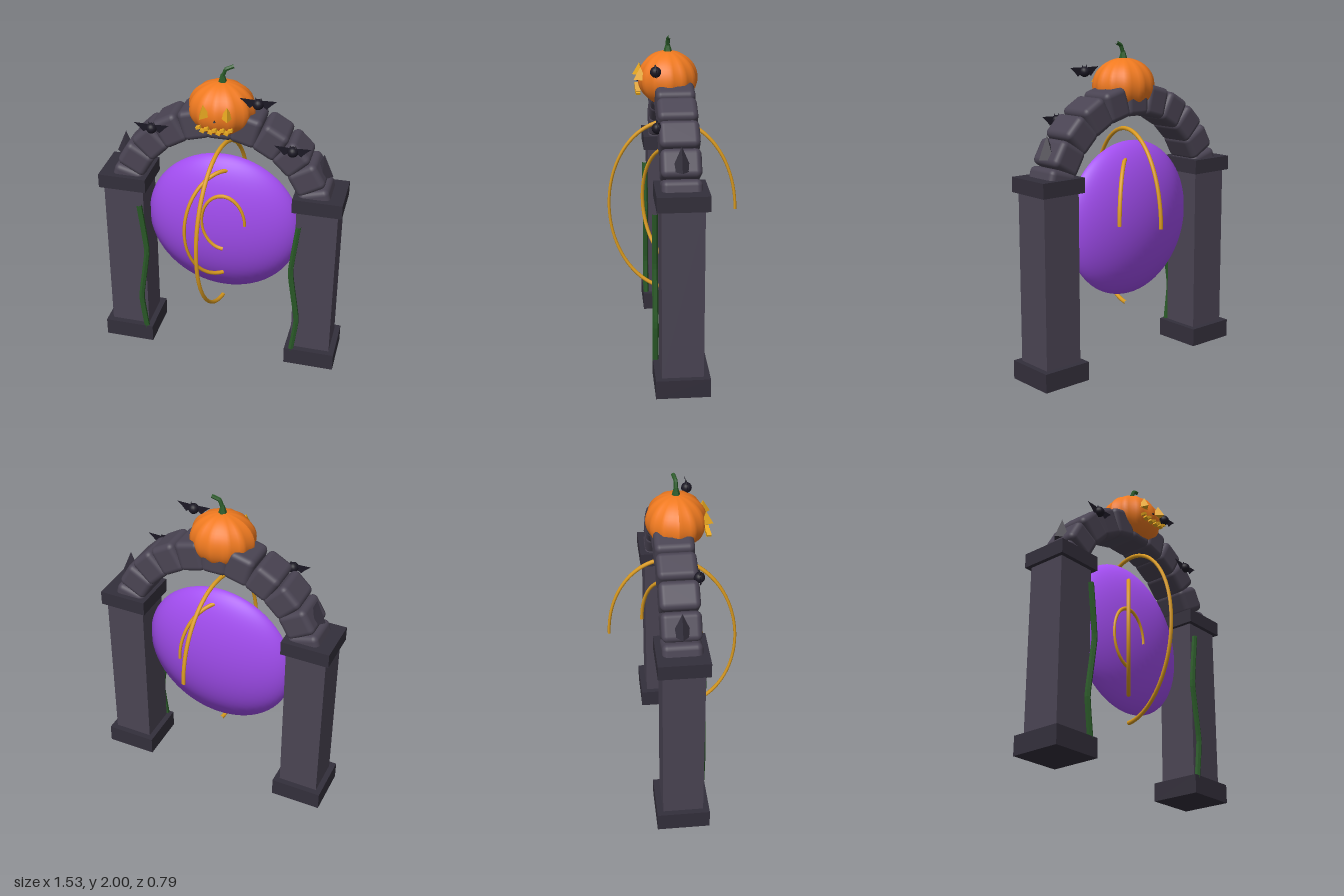
import * as THREE from 'three';
import { RoundedBoxGeometry } from 'three/addons/geometries/RoundedBoxGeometry.js';

const mat = (color, extra = {}) => new THREE.MeshStandardMaterial({ color, ...extra });
const STONE = mat(0x4a4453);
const DARK_STONE = mat(0x332f3b);
const SPIKE = mat(0x332f3b, { flatShading: true });
const ORANGE = mat(0xf07a20);
const GOLD = mat(0xd99a20);
const GLOW = mat(0xe8a820, { flatShading: true });
const PURPLE = mat(0xa24df0);
const GREEN = mat(0x2a5a28, { flatShading: true });
const BLACK = mat(0x1b1824);
const WING = mat(0x1b1824, { side: THREE.DoubleSide });

function add(parent, name, geometry, material, x = 0, y = 0, z = 0) {
  const mesh = new THREE.Mesh(geometry, material);
  mesh.name = name;
  mesh.position.set(x, y, z);
  parent.add(mesh);
  return mesh;
}

const points = (list) => list.map((p) => new THREE.Vector3(...p));

// Tube that follows straight segments
function polyTube(list, radius, sides) {
  const path = new THREE.CatmullRomCurve3(points(list), false, 'catmullrom', 0.15);
  return new THREE.TubeGeometry(path, 24, radius, sides);
}

// Pillar with base, capital, spike and climbing vine
function addPillar(root, side) {
  const g = new THREE.Group();
  g.name = side > 0 ? 'leftPillar' : 'rightPillar';
  root.add(g);
  const x = side * 0.604;
  add(g, 'base', new THREE.BoxGeometry(0.32, 0.115, 0.32), DARK_STONE, x, 0.0575, -0.005);
  add(g, 'shaft', new THREE.BoxGeometry(0.25, 1.05, 0.245), STONE, x, 0.63, -0.005);
  add(g, 'capital', new THREE.BoxGeometry(0.3, 0.09, 0.3), DARK_STONE, x, 1.19, -0.005);
  add(g, 'spike', new THREE.ConeGeometry(0.06, 0.14, 4), SPIKE, side * 0.61, 1.41, -0.005);
  const vine = [[0.485, 0.1, 0.138], [0.513, 0.35, 0.138], [0.463, 0.71, 0.138], [0.5, 1.05, 0.138]];
  add(g, 'vine', polyTube(vine.map(([a, b, c]) => [side * a, b, c]), 0.018, 6), GREEN);
}

// Half ring of rounded stones
function addArch(root) {
  const g = new THREE.Group();
  g.name = 'arch';
  root.add(g);
  const stone = new RoundedBoxGeometry(0.168, 0.19, 0.232, 3, 0.035);
  for (let i = -5; i <= 5; i++) {
    const a = (i * Math.PI) / 12;
    const m = add(g, 'archStone', stone, STONE, Math.sin(a) * 0.605, 1.04 + Math.cos(a) * 0.605, -0.005);
    m.rotation.z = -a;
  }
}

// Thin lens filling the doorway, softly rounded in shading
function addPortal(root) {
  const geo = new THREE.SphereGeometry(0.485, 64, 32);
  geo.scale(1, 1, 0.45);
  const pos = geo.attributes.position;
  for (let i = 0; i < pos.count; i++) pos.setZ(i, pos.getZ(i) * 0.11);
  add(root, 'portal', geo, PURPLE, 0, 0.91, -0.022);

  [[0.555, 80], [0.375, 40], [0.195, 0]].forEach(([radius, degrees]) => {
    const ring = add(root, 'swirlRing', new THREE.TorusGeometry(radius, 0.013, 10, 64, Math.PI * 1.5), GOLD, 0, 0.91, 0);
    ring.scale.x = 0.71;
    ring.rotation.y = THREE.MathUtils.degToRad(degrees);
  });
}

// Ribbed pumpkin with carved face and bent stem
function addPumpkin(root) {
  const g = new THREE.Group();
  g.name = 'pumpkin';
  g.position.set(0, 1.73, 0.024);
  root.add(g);

  const geo = new THREE.SphereGeometry(1, 48, 24);
  const pos = geo.attributes.position;
  for (let i = 0; i < pos.count; i++) {
    const x = pos.getX(i), y = pos.getY(i), z = pos.getZ(i);
    const rib = 0.97 + 0.03 * Math.cos(12 * Math.atan2(z, x));
    pos.setXYZ(i, x * rib * 0.2, y * 0.163, z * rib * 0.18);
  }
  geo.computeVertexNormals();
  add(g, 'pumpkinBody', geo, ORANGE);

  add(g, 'stemBase', new THREE.CylinderGeometry(0.012, 0.03, 0.06, 6), GREEN, 0.003, 0.175, 0);
  add(g, 'stem', polyTube([[0.003, 0.19, 0], [0.022, 0.238, 0], [0.068, 0.258, -0.01]], 0.012, 6), GREEN);

  // Eyes are small three-sided pyramids
  for (const side of [-1, 1]) {
    const eye = add(g, 'eye', new THREE.ConeGeometry(0.044, 0.075, 3), GLOW, side * 0.07, 0.045, 0.166);
    eye.rotation.y = side * 0.25;
  }
  add(g, 'nose', new THREE.ConeGeometry(0.012, 0.02, 3), BLACK, 0, -0.005, 0.178);

  // Zigzag row of teeth
  for (let i = -4; i <= 4; i++) {
    const up = i % 2 === 0 ? 1 : -1;
    const y = -0.072 + up * 0.008 + Math.abs(i) * 0.0025;
    const tooth = add(g, 'tooth', new THREE.BoxGeometry(0.027, 0.015, 0.026), GLOW, i * 0.0235, y, 0.182);
    tooth.rotation.z = up * 0.35;
  }
}

// Bat with round body, ears and thin pointed wings
function addBat(root, x, y, z, tilt) {
  const g = new THREE.Group();
  g.name = 'bat';
  g.position.set(x, y, z);
  g.rotation.z = tilt;
  root.add(g);
  add(g, 'batBody', new THREE.SphereGeometry(0.032, 16, 12), BLACK);
  for (const side of [-1, 1]) {
    const shape = new THREE.Shape(
      [[0, 0.015], [0.03, 0.026], [0.108, 0.028], [0.075, 0], [0.05, -0.028], [0.028, -0.012], [0, -0.01]]
        .map(([a, b]) => new THREE.Vector2(side * a, b)));
    add(g, 'batWing', new THREE.ShapeGeometry(shape), WING);
    add(g, 'batEar', new THREE.ConeGeometry(0.009, 0.022, 4), BLACK, side * 0.015, 0.032, 0);
  }
}

export function createModel() {
  const root = new THREE.Group();
  root.name = 'pumpkinArchway';
  for (const side of [-1, 1]) addPillar(root, side);
  addArch(root);
  addPortal(root);
  addPumpkin(root);
  addBat(root, -0.408, 1.582, 0.112, 0);
  addBat(root, 0.442, 1.54, 0.118, 0);
  addBat(root, 0.233, 1.815, 0.112, 0);
  return root;
}
